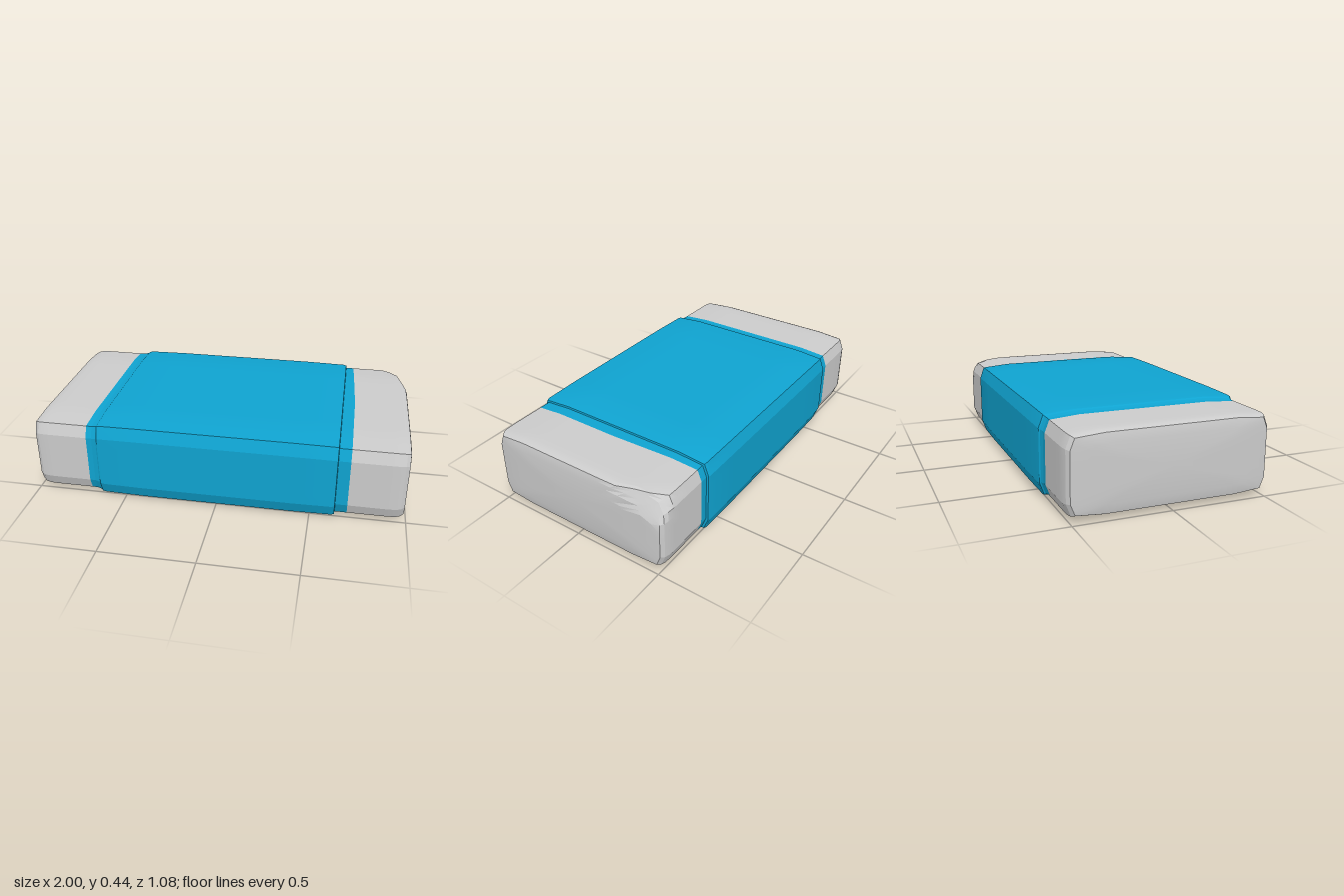
import * as THREE from 'three';
import { toCreasedNormals } from 'three/addons/utils/BufferGeometryUtils.js';

const MID_Y = 0.22;

// Unit cross-section (z, y) of a soft rectangle, with long edges subdivided
function unitSection() {
  const quarter = [[1, 0.64], [0.955, 0.94], [0.67, 1]];
  const back = [...quarter].reverse();
  const corners = [
    ...quarter,
    ...back.map(([z, y]) => [-z, y]),
    ...quarter.map(([z, y]) => [-z, -y]),
    ...back.map(([z, y]) => [z, -y]),
  ];
  const points = [];
  corners.forEach(([z, y], i) => {
    const [z2, y2] = corners[(i + 1) % corners.length];
    const steps = Math.abs(z2 - z) > 1 ? 8 : Math.abs(y2 - y) > 1 ? 5 : 2;
    for (let k = 0; k < steps; k++) {
      const t = k / steps;
      points.push([z + (z2 - z) * t, y + (y2 - y) * t]);
    }
  });
  return points;
}
const SECTION = unitSection();

// Skin a list of rings [x, half width, half height] running towards +x
function loft(rings, deform, crease = 0.3) {
  const n = SECTION.length;
  const positions = [];
  const index = [];
  const p = new THREE.Vector3();
  rings.forEach(([x, hw, hh], i) => {
    SECTION.forEach(([z, y], j) => {
      p.set(x, MID_Y + y * hh, z * hw);
      if (deform) deform(p, i);
      positions.push(p.x, p.y, p.z);
      if (i === rings.length - 1) return;
      const a = i * n + j;
      const b = i * n + ((j + 1) % n);
      if (hw > 0) index.push(a, a + n, b);
      if (rings[i + 1][1] > 0) index.push(a + n, b + n, b);
    });
  });
  const g = new THREE.BufferGeometry();
  g.setAttribute('position', new THREE.Float32BufferAttribute(positions, 3));
  g.setIndex(index);
  return toCreasedNormals(g, crease);
}

// Slanted right-hand border between the coloured band and the bare end
const slant = (p) => { p.x += 0.04 * Math.min(0, p.z); };

// Planes that wear away the upper back corner of the right end
const WEAR = [
  [new THREE.Vector3(1, 1, -1), 1.79],
  [new THREE.Vector3(1, 0.5, -0.25), 1.25],
];
function wear(p) {
  for (const [normal, limit] of WEAR) {
    const over = normal.dot(p) - limit;
    if (over > 0) p.addScaledVector(normal, -over / normal.lengthSq());
  }
}

export function createModel() {
  const group = new THREE.Group();
  const grey = new THREE.MeshStandardMaterial({ color: 0xcccccc });
  const blue = new THREE.MeshStandardMaterial({ color: 0x0fa3d0 });
  const add = (name, geometry, material) => {
    const mesh = new THREE.Mesh(geometry, material);
    mesh.name = name;
    group.add(mesh);
  };

  const W = 0.524, H = 0.203;

  // Bare ends: straight block, rounded rim, slightly domed cap
  const end = [
    [0.695, W, H], [0.78, W, H], [0.85, W, H], [0.9, W, H], [0.94, 0.522, 0.202],
    [0.965, 0.516, 0.199], [0.985, 0.502, 0.191], [0.99, 0.46, 0.172],
    [0.993, 0.4, 0.145], [0.997, 0.3, 0.1], [0.999, 0.15, 0.05], [1, 0, 0],
  ];
  add('wornEnd', loft(end, (p, i) => (i === 0 ? slant(p) : wear(p))), grey);
  add('plainEnd', loft(end.map(([x, w, h]) => [-x, w, h]).reverse()), grey);

  // Coloured band around the block, showing on both sides of the sleeve
  add('band', loft([[-0.695, W, H], [0, W, H], [0.695, W, H]],
    (p, i) => { if (i === 2) slant(p); }), blue);

  // Wrapped sleeve, stepping up from the block at each rim
  add('sleeve', loft([
    [-0.665, W, H], [-0.64, 0.53, 0.208], [-0.633, 0.536, 0.214], [-0.61, 0.539, 0.217],
    [-0.4, 0.541, 0.22], [0.4, 0.541, 0.22],
    [0.615, 0.539, 0.217], [0.63, 0.535, 0.213], [0.632, W, H],
  ]), blue);

  return group;
}
